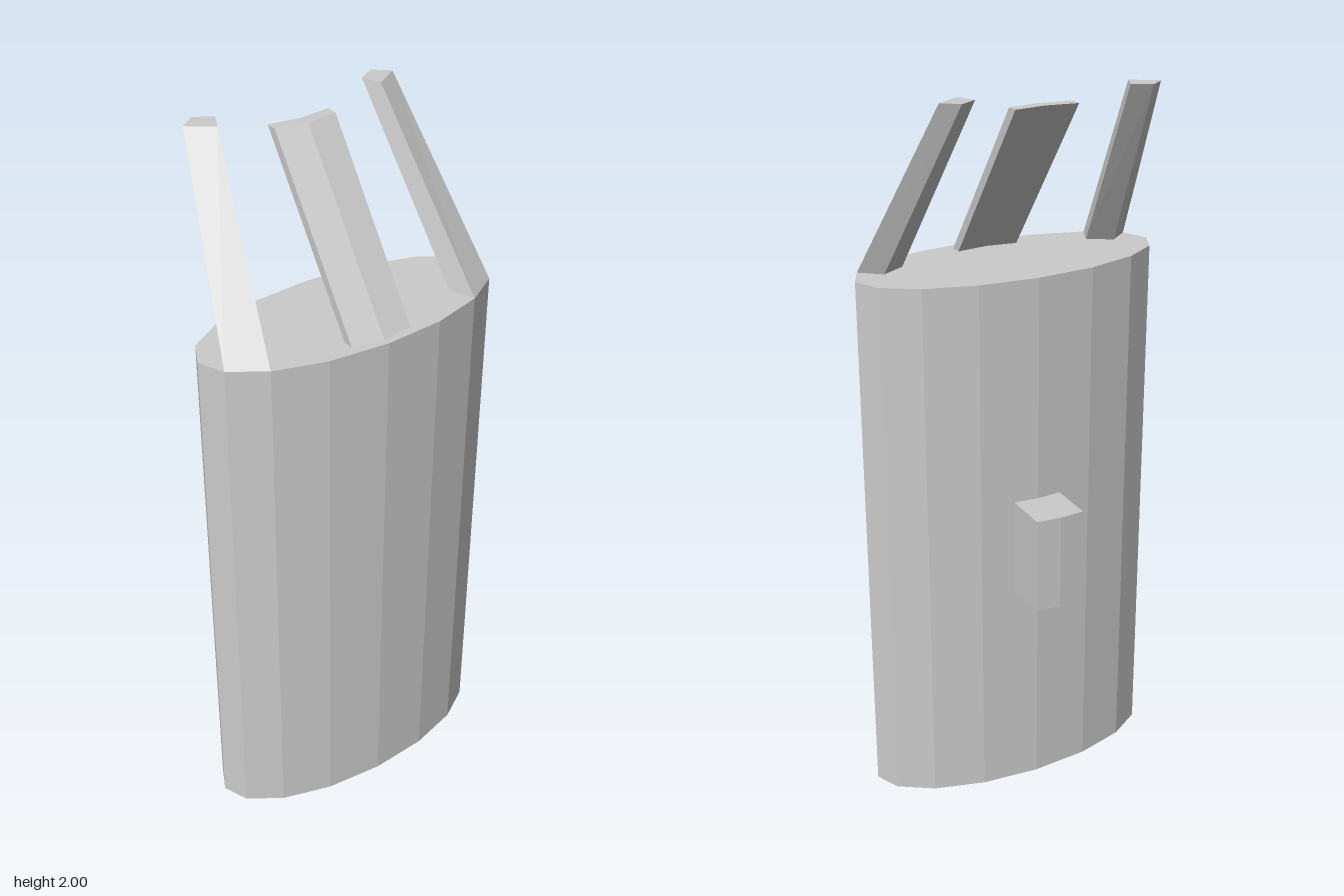
import * as THREE from 'three';

const material = new THREE.MeshStandardMaterial({ color: 0xcccccc, flatShading: true });

// Closed solid between two matching outlines of [x, z] points at heights y0 and y1.
function loft(name, bottom, top, y0, y1) {
  const outline = bottom.map(([x, z]) => new THREE.Vector2(x, z));
  if (THREE.ShapeUtils.isClockWise(outline)) {
    outline.reverse();
    bottom = [...bottom].reverse();
    top = [...top].reverse();
  }
  const low = bottom.map(([x, z]) => [x, y0, z]);
  const high = top.map(([x, z]) => [x, y1, z]);
  const pos = [];
  const tri = (...corners) => corners.forEach((c) => pos.push(...c));
  low.forEach((a, i) => {
    const j = (i + 1) % low.length;
    tri(low[j], a, high[i]);
    tri(low[j], high[i], high[j]);
  });
  for (const [a, b, c] of THREE.ShapeUtils.triangulateShape(outline, [])) {
    tri(low[a], low[b], low[c]);
    tri(high[c], high[b], high[a]);
  }
  const geometry = new THREE.BufferGeometry();
  geometry.setAttribute('position', new THREE.Float32BufferAttribute(pos, 3));
  geometry.computeVertexNormals();
  const mesh = new THREE.Mesh(geometry, material);
  mesh.name = name;
  return mesh;
}

export function createModel() {
  const group = new THREE.Group();
  const cx = -0.002;

  // Oval faceted body
  const bodyGeometry = new THREE.CylinderGeometry(1, 1, 1.52, 16);
  bodyGeometry.scale(0.43, 1, 0.182);
  const body = new THREE.Mesh(bodyGeometry, material);
  body.name = 'body';
  body.position.set(cx, 0.76, 0.063);
  group.add(body);

  // Side prongs leaning back and inward
  for (const s of [1, -1]) {
    const place = (points, shift) => points.map(([x, z]) => [s * x + shift, z]);
    const foot = place([[0.397, 0.133], [0.304, 0.191], [0.274, 0.125], [0.34, 0.087]], cx);
    const tip = place([[0.3, -0.18], [0.233, -0.135], [0.21, -0.185], [0.258, -0.215]], -0.005);
    group.add(loft(s > 0 ? 'leftProng' : 'rightProng', foot, tip, 1.52, 2));
  }

  // Bent centre prong leaning back
  const bent = (z) => [
    [cx - 0.087, z - 0.012], [cx, z], [cx + 0.087, z - 0.012],
    [cx + 0.087, z - 0.045], [cx, z - 0.033], [cx - 0.087, z - 0.045],
  ];
  group.add(loft('centreProng', bent(0.225), bent(-0.11), 1.52, 1.96));

  // Block on the back
  const block = [[-0.071, -0.105], [0.067, -0.105], [0.067, -0.243], [cx, -0.249], [-0.071, -0.243]];
  group.add(loft('backBlock', block, block, 0.625, 0.895));

  return group;
}
